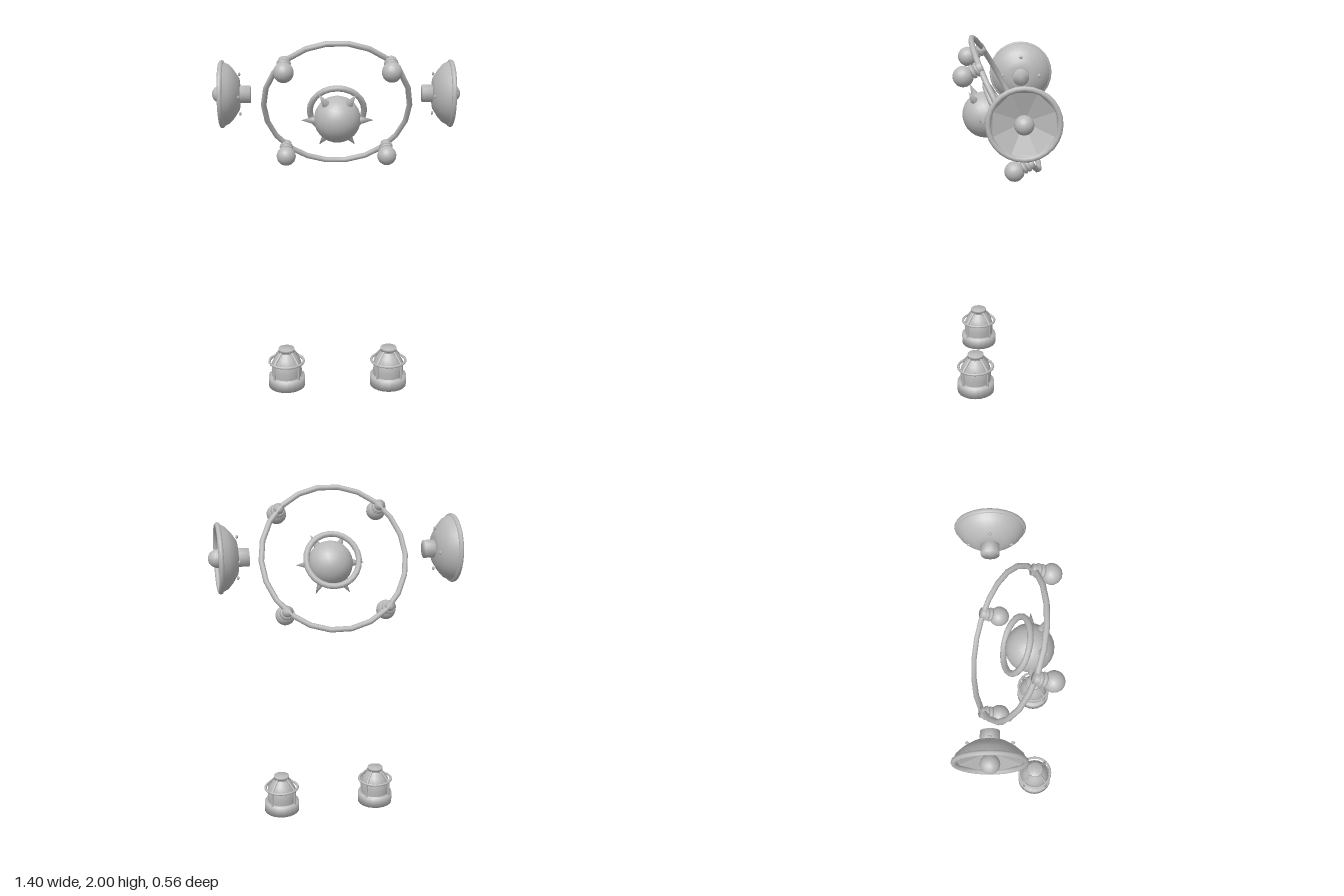
import * as THREE from 'three';
import { mergeVertices } from 'three/addons/utils/BufferGeometryUtils.js';

const metal = new THREE.MeshStandardMaterial({ color: 0xbababa, side: THREE.DoubleSide });
metal.name = 'grey metal';

function add(parent, name, geometry, x = 0, y = 0, z = 0) {
  const mesh = new THREE.Mesh(geometry, metal);
  mesh.name = name;
  mesh.position.set(x, y, z);
  parent.add(mesh);
  return mesh;
}

function group(parent, name, x = 0, y = 0, z = 0) {
  const g = new THREE.Group();
  g.name = name;
  g.position.set(x, y, z);
  parent.add(g);
  return g;
}

// Shares normals across all edges, caps included
function smooth(geometry) {
  geometry.deleteAttribute('uv');
  geometry.deleteAttribute('normal');
  const merged = mergeVertices(geometry);
  merged.computeVertexNormals();
  return merged;
}

const cylinder = (top, bottom, height, sides) =>
  smooth(new THREE.CylinderGeometry(top, bottom, height, sides));

const lathe = (points, sides) =>
  new THREE.LatheGeometry(points.map(([r, y]) => new THREE.Vector2(r, y)), sides);

// Lamp ball on a stepped neck, pointing along the ring's axis
function ringLamp(parent, x, y) {
  const lamp = group(parent, 'ringLamp', x, y, 0);
  add(lamp, 'lampNeck', cylinder(0.03, 0.03, 0.07, 12), 0, 0, 0.022).rotation.x = Math.PI / 2;
  for (const z of [0.018, 0.04]) add(lamp, 'neckCollar', new THREE.TorusGeometry(0.029, 0.01, 8, 16), 0, 0, z);
  add(lamp, 'lampBall', new THREE.SphereGeometry(0.055, 16, 12), 0, 0, 0.098);
}

// Tilted ring with four lamps and a spiked ball on its axis
function buildRing(root) {
  const ring = group(root, 'tiltedRing', 0, 1.628, 0);
  ring.rotation.x = 0.48;
  add(ring, 'outerRing', new THREE.TorusGeometry(0.406, 0.0155, 8, 22));
  for (const sx of [-1, 1]) for (const sy of [-1, 1]) ringLamp(ring, sx * 0.287, sy * 0.289);

  add(ring, 'innerRing', new THREE.TorusGeometry(0.15, 0.017, 8, 24), 0, 0, 0.05);
  add(ring, 'centreBall', new THREE.SphereGeometry(0.128, 24, 16), 0, 0, 0.128);
  for (let i = 0; i < 6; i++) {
    const a = (i * Math.PI) / 3;
    const spike = add(ring, 'spike', smooth(new THREE.ConeGeometry(0.026, 0.085, 6)),
      Math.cos(a) * 0.156, Math.sin(a) * 0.156, 0.137);
    spike.rotation.z = a - Math.PI / 2;
  }
}

// Dish facing outward along x
function buildDish(root, side) {
  const dish = group(root, side > 0 ? 'leftDish' : 'rightDish', 0, 1.675, -0.09);
  dish.rotation.y = side > 0 ? 0 : Math.PI;
  const axis = group(dish, 'dishAxis');
  axis.rotation.z = -Math.PI / 2;
  add(axis, 'dishShell', lathe([[0, 0.54], [0.05, 0.541], [0.09, 0.546], [0.135, 0.575], [0.165, 0.602], [0.184, 0.64]], 28));
  add(axis, 'dishRim', new THREE.TorusGeometry(0.177, 0.014, 8, 28), 0, 0.643, 0).rotation.x = Math.PI / 2;

  // Faceted inner face
  const face = new THREE.ConeGeometry(0.168, 0.05, 8, 1, true, Math.PI / 8).toNonIndexed();
  face.rotateX(Math.PI);
  face.computeVertexNormals();
  add(axis, 'dishFace', face, 0, 0.612, 0);

  add(axis, 'dishBall', new THREE.SphereGeometry(0.05, 16, 12), 0, 0.65, 0);
  add(axis, 'rearStub', cylinder(0.05, 0.05, 0.065, 16), 0, 0.516, 0);
  for (let i = 0; i < 4; i++) {
    const a = (i * Math.PI) / 2;
    const rivet = add(axis, 'rivet', new THREE.SphereGeometry(0.011, 8, 6), Math.cos(a) * 0.112, 0.544, Math.sin(a) * 0.112);
    rivet.scale.y = 0.6;
  }
}

// Caged lantern standing on the ground
function buildLantern(root, side) {
  const lantern = group(root, side > 0 ? 'leftLantern' : 'rightLantern', side * 0.297, 0, 0.174);
  add(lantern, 'lanternBase', cylinder(0.106, 0.106, 0.064, 20), 0, 0.032, 0);
  add(lantern, 'lanternGlass', lathe([[0.084, 0.06], [0.088, 0.1], [0.085, 0.148], [0.066, 0.18], [0.043, 0.21]], 20));
  add(lantern, 'lanternCap', cylinder(0.047, 0.047, 0.016, 16), 0, 0.227, 0);
  add(lantern, 'lanternNeck', cylinder(0.036, 0.044, 0.022, 16), 0, 0.212, 0);
  add(lantern, 'cageRing', new THREE.TorusGeometry(0.1, 0.0075, 8, 24), 0, 0.154, 0).rotation.x = Math.PI / 2;

  // Upright bars bent in towards the cap
  const path = new THREE.CurvePath();
  const corners = [[0.098, 0.06], [0.098, 0.154], [0.042, 0.216]].map(([r, y]) => new THREE.Vector3(r, y, 0));
  path.add(new THREE.LineCurve3(corners[0], corners[1]));
  path.add(new THREE.LineCurve3(corners[1], corners[2]));
  const bar = new THREE.TubeGeometry(path, 12, 0.0075, 6);
  for (let i = 0; i < 4; i++) add(lantern, 'cageBar', bar).rotation.y = Math.PI / 4 + (i * Math.PI) / 2;
}

export function createModel() {
  const root = new THREE.Group();
  root.name = 'lampSet';
  buildRing(root);
  for (const side of [-1, 1]) {
    buildDish(root, side);
    buildLantern(root, side);
  }
  return root;
}
